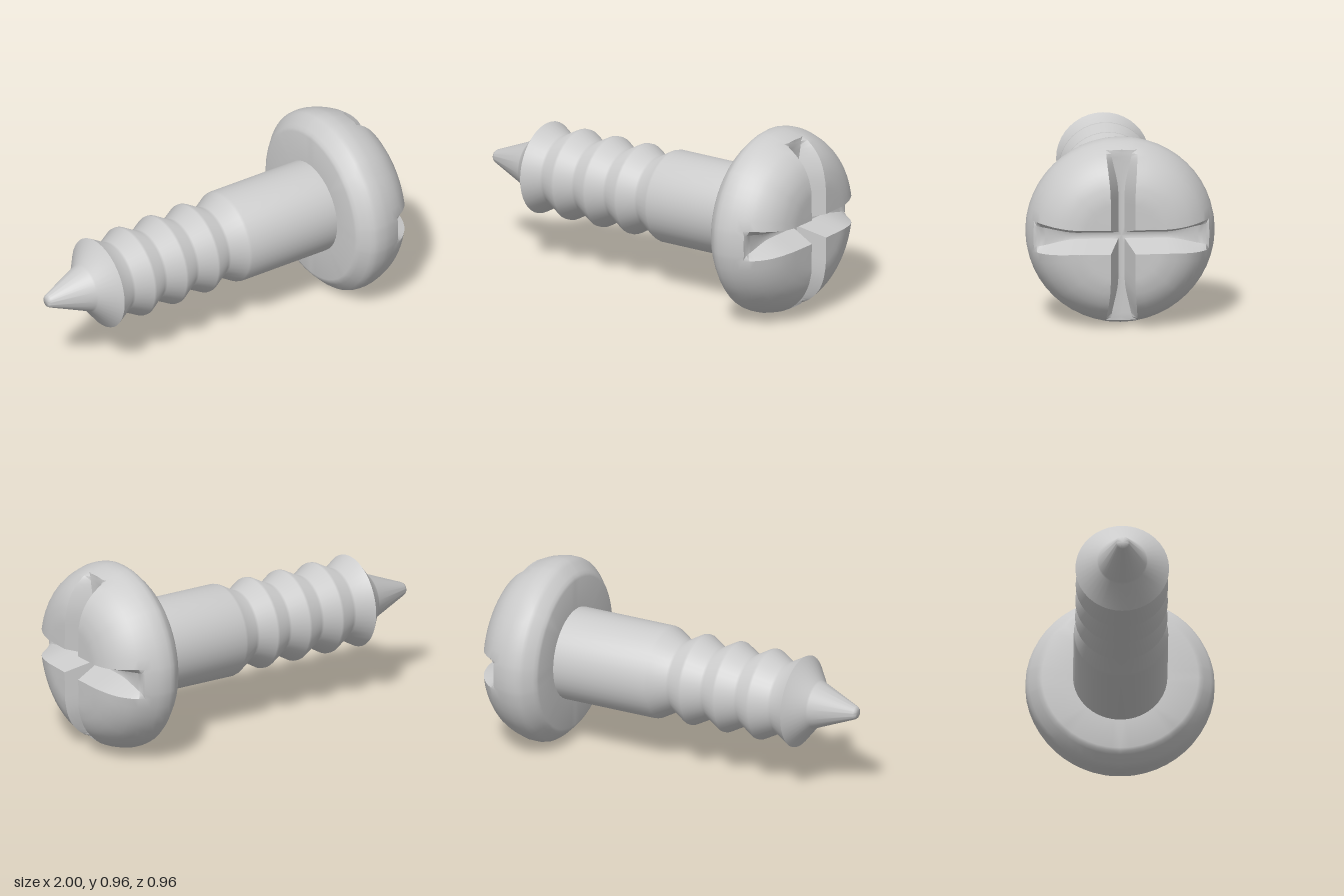
import * as THREE from 'three';
import { toCreasedNormals } from 'three/addons/utils/BufferGeometryUtils.js';

const AXIS_Y = 0.478;   // height of the screw axis
const RIM = 0.478;      // head radius
const SLOT = 0.063;     // half-width of the slot at the top
const FLOOR = 0.016;    // half-width of the slot floor

// Dome profile as [radius, x], and the underside as [radius, x]
const DOME = [[0, 1], [0.1, 0.999], [0.228, 0.996], [0.281, 0.985], [0.32, 0.972], [0.356, 0.953],
  [0.388, 0.928], [0.415, 0.9], [0.436, 0.87], [0.452, 0.837], [0.468, 0.797], [RIM, 0.75]];
const UNDERSIDE = [[0.478, 0.71], [0.473, 0.687], [0.46, 0.668], [0.425, 0.633], [0.41, 0.62], [0.395, 0.615], [0.2, 0.615]];

function domeX(r) {
  for (let i = 1; i < DOME.length; i++) {
    const [r0, x0] = DOME[i - 1], [r1, x1] = DOME[i];
    if (r <= r1) return x0 + (x1 - x0) * (r - r0) / (r1 - r0);
  }
  return DOME[DOME.length - 1][1];
}

// One eighth of the head as columns of [x, u, v]; u runs along the slot, v across it
function headColumns() {
  const rows = 18, fan = 5, columns = [];
  const ends = [0, 0.056, 0.08];
  const starts = [0, FLOOR, SLOT];
  const firstAngle = Math.asin(ends[2] / RIM);
  for (let j = 0; j < 3 + fan; j++) {
    const angle = j < 3 ? Math.asin(ends[j] / RIM)
      : firstAngle + (Math.PI / 4 - firstAngle) * (j - 2) / fan;
    const a = starts[Math.min(j, 2)];
    const bu = RIM * Math.cos(angle), bv = RIM * Math.sin(angle);
    const column = [];
    for (let i = 0; i <= rows; i++) {
      const t = 1 - Math.pow(1 - i / rows, 1.5);
      const u = a + (bu - a) * t;
      // slot edges stay parallel, then flare towards the rim
      const blend = j < 3 ? THREE.MathUtils.smoothstep(u, 0.22, bu) : t;
      const v = a + (bv - a) * blend;
      let x = domeX(Math.hypot(u, v));
      if (j < 2) x = Math.min(x, j === 0 ? 0.846 : 0.851);
      column.push([x, u, v]);
    }
    for (const [r, x] of UNDERSIDE) column.push([x, r * Math.cos(angle), r * Math.sin(angle)]);
    columns.push(column);
  }
  return columns;
}

// The eighth is mirrored and turned to make the whole cross-slotted head
function headGeometry() {
  const columns = headColumns(), positions = [];
  for (let k = 0; k < 4; k++) {
    const c = Math.round(Math.cos(k * Math.PI / 2)), s = Math.round(Math.sin(k * Math.PI / 2));
    for (const side of [1, -1]) {
      const place = ([x, u, v]) => new THREE.Vector3(x, u * c - v * side * s, u * s + v * side * c);
      const triangle = (p, q, r) => {
        const pts = (side > 0 ? [p, q, r] : [p, r, q]).map(place);
        const area = pts[1].clone().sub(pts[0]).cross(pts[2].clone().sub(pts[0])).length();
        if (area > 1e-9) pts.forEach((pt) => positions.push(pt.x, pt.y, pt.z));
      };
      for (let j = 0; j < columns.length - 1; j++) {
        for (let i = 0; i < columns[j].length - 1; i++) {
          const p = columns[j][i], q = columns[j][i + 1], r = columns[j + 1][i + 1], t = columns[j + 1][i];
          triangle(p, q, r);
          triangle(p, r, t);
        }
      }
    }
  }
  const geometry = new THREE.BufferGeometry();
  geometry.setAttribute('position', new THREE.Float32BufferAttribute(positions, 3));
  return toCreasedNormals(geometry, 0.7);
}

// Tip, ringed thread and plain shank turned as one profile
function shaftGeometry() {
  const profile = [[0, -1], [0.026, -1], [0.034, -0.99], [0.122, -0.776], [0.128, -0.768], [0.237, -0.682]];
  const pitch = 0.194;
  for (let i = 0; i < 4; i++) {
    const ridge = -0.682 + i * pitch;
    if (i > 0) profile.push([0.234, ridge - 0.007], [0.234, ridge + 0.007]);
    profile.push([0.187, ridge + 0.087], [0.187, ridge + 0.102]);
  }
  profile.push([0.235, 0.085], [0.239, 0.1], [0.239, 0.63]);
  const geometry = new THREE.LatheGeometry(profile.map(([r, x]) => new THREE.Vector2(r, x)), 40);
  geometry.rotateZ(-Math.PI / 2);
  return toCreasedNormals(geometry, 1.1);
}

export function createModel() {
  const material = new THREE.MeshStandardMaterial({ color: 0xcccccc });
  const group = new THREE.Group();
  group.name = 'screw';
  const parts = { slottedHead: headGeometry(), threadedShaft: shaftGeometry() };
  for (const [name, geometry] of Object.entries(parts)) {
    const mesh = new THREE.Mesh(geometry, material);
    mesh.name = name;
    mesh.position.y = AXIS_Y;
    group.add(mesh);
  }
  return group;
}
